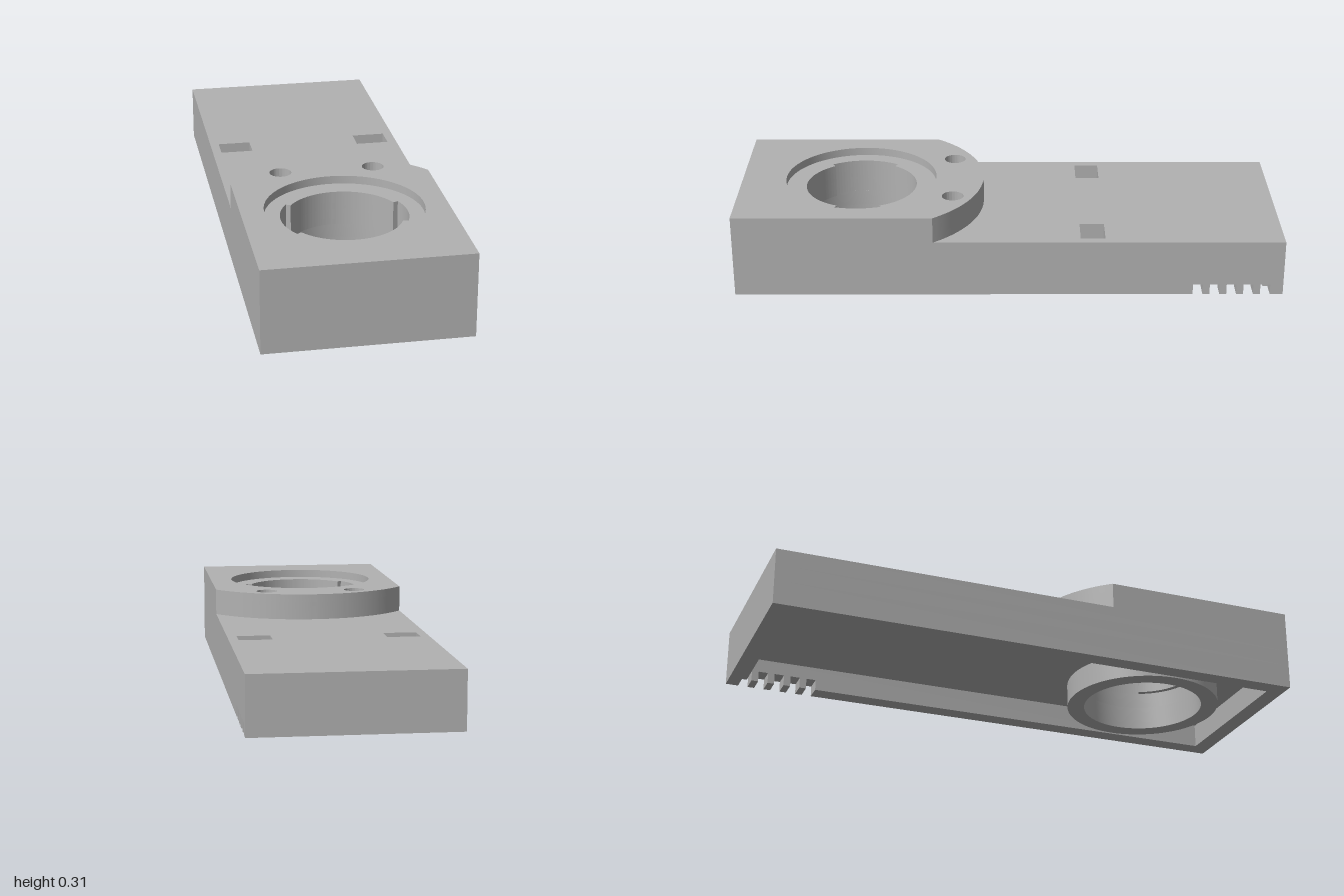
import * as THREE from 'three';
import { toCreasedNormals } from 'three/addons/utils/BufferGeometryUtils.js';

const HALF = 0.365, WALL = 0.065, BORE_Z = 0.555;
const CEILING = 0.09, LEDGE = 0.15, DECK = 0.21, SEAT = 0.277, TOP = 0.307;

const circle = (x, z, r) => new THREE.Path().absarc(x, z, r, 0, Math.PI * 2, false);

function rect(x0, z0, x1, z1, Type = THREE.Shape) {
  return new Type([[x0, z0], [x1, z0], [x1, z1], [x0, z1]].map(([x, z]) => new THREE.Vector2(x, z)));
}

// Bore outline with a wide key slot on one side and a narrow one on the other
function keyedBore() {
  const r = 0.207, slot = 0.226, narrow = 0.39, wide = 0.59, path = new THREE.Path();
  path.absarc(0, BORE_Z, slot, -narrow, narrow, false);
  path.absarc(0, BORE_Z, r, narrow, Math.PI - wide, false);
  path.absarc(0, BORE_Z, slot, Math.PI - wide, Math.PI + wide, false);
  path.absarc(0, BORE_Z, r, Math.PI + wide, Math.PI * 2 - narrow, false);
  path.closePath();
  return path;
}

// Raised pad outline: square at the front, arched at the back
function padOutline() {
  const r = 0.46, a = Math.acos(HALF / r), s = new THREE.Shape();
  s.moveTo(-HALF, 1);
  s.lineTo(HALF, 1);
  s.absarc(0, BORE_Z, r, -a, -Math.PI + a, true);
  s.closePath();
  return s;
}

export function createModel() {
  const group = new THREE.Group();
  const grey = new THREE.MeshStandardMaterial({ color: 0xb2b2b2 });
  grey.name = 'grey';

  const add = (name, geometry) => {
    const mesh = new THREE.Mesh(geometry, grey);
    mesh.name = name;
    group.add(mesh);
    return mesh;
  };
  // Horizontal layer from an (x, z) outline with holes
  const layer = (name, shape, holes, y0, y1) => {
    shape.holes.push(...holes);
    const g = new THREE.ExtrudeGeometry(shape, { depth: y1 - y0, bevelEnabled: false, curveSegments: 48 });
    g.rotateX(Math.PI / 2).translate(0, y1, 0);
    return add(name, toCreasedNormals(g, 0.5));
  };

  // Deck plate, with two blind rectangular pockets in its upper layer
  layer('ceilingPlate', rect(-HALF, -1, HALF, 1), [circle(0, BORE_Z, 0.226)], CEILING, LEDGE);
  const pockets = [[-0.332, -0.21], [0.207, 0.33]].map(([a, b]) => rect(a, -0.35, b, -0.26, THREE.Path));
  layer('deckPlate', rect(-HALF, -1, HALF, 1), [keyedBore(), ...pockets], LEDGE, DECK);

  // Raised pad with two pin holes and a counterbored seat
  const pins = () => [-1, 1].map(s => circle(s * 0.172, 0.207, 0.04));
  layer('raisedPad', padOutline(), [keyedBore(), ...pins()], DECK, SEAT);
  layer('seatRim', padOutline(), [circle(0, BORE_Z, 0.282), ...pins()], SEAT, TOP);

  // Collar hanging under the bore
  const collar = new THREE.Shape().absarc(0, BORE_Z, 0.29, 0, Math.PI * 2, false);
  layer('boreCollar', collar, [circle(0, BORE_Z, 0.226)], 0, CEILING);

  // Skirt walls around the open underside
  const inner = HALF - WALL;
  layer('plainSideWall', rect(-HALF, -1, -inner, 1), [], 0, CEILING);
  layer('frontWall', rect(-inner, 1 - WALL, inner, 1), [], 0, CEILING);
  layer('backWall', rect(-inner, -1, inner, -1 + WALL), [], 0, CEILING);

  // Side wall with five vent slots along its lower edge, extruded across x
  const side = new THREE.Shape();
  side.moveTo(-1, 0);
  side.lineTo(-1, CEILING);
  side.lineTo(1, CEILING);
  side.lineTo(1, 0);
  for (let i = 0; i < 5; i++) {
    const z = -0.671 - i * 0.0615;
    side.lineTo(z, 0);
    side.lineTo(z, 0.04);
    side.lineTo(z - 0.036, 0.04);
    side.lineTo(z - 0.036, 0);
  }
  side.closePath();
  const wall = new THREE.ExtrudeGeometry(side, { depth: WALL, bevelEnabled: false });
  wall.rotateY(-Math.PI / 2).translate(HALF, 0, 0);
  add('slottedSideWall', wall);

  return group;
}
